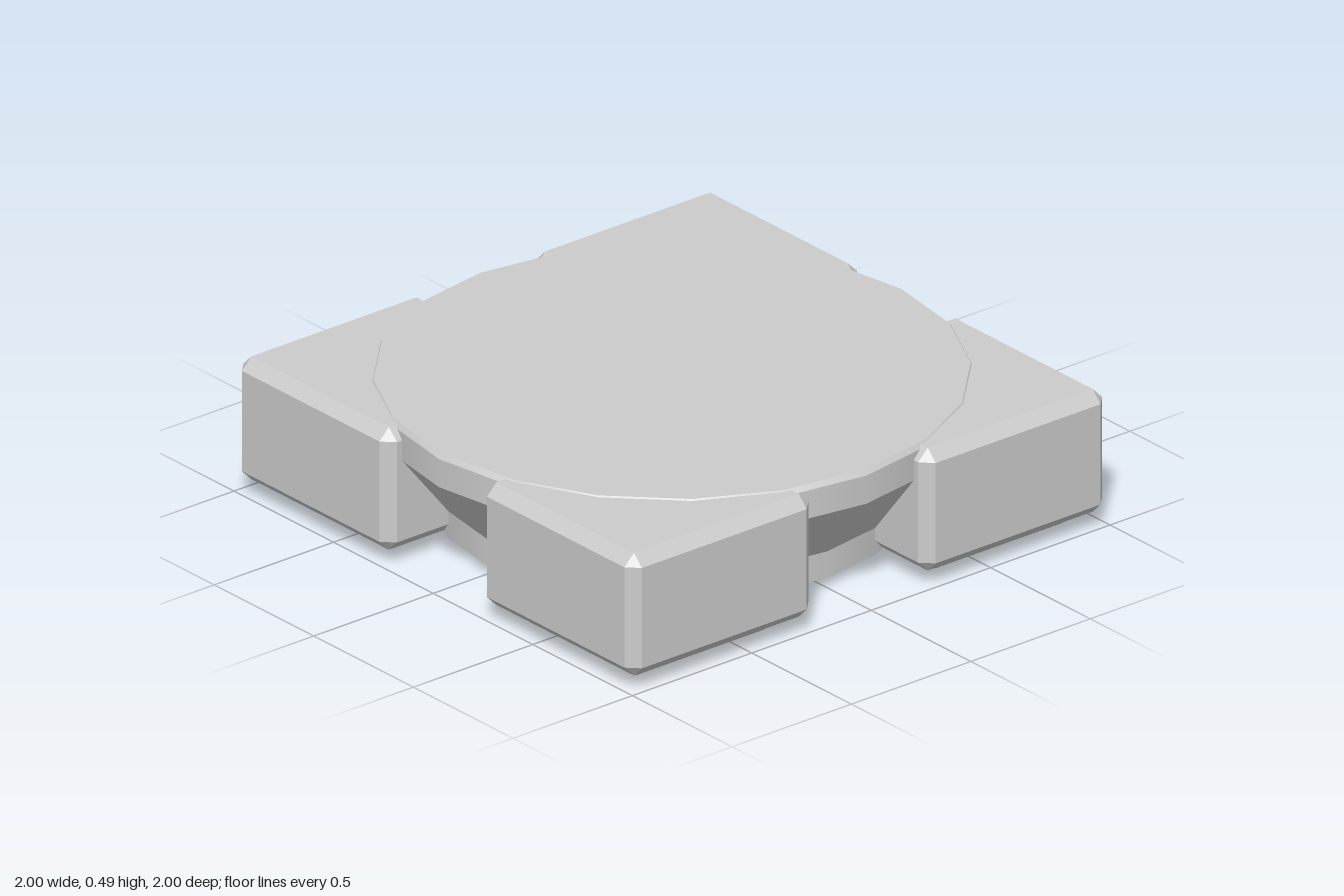
import * as THREE from 'three';
import { ConvexGeometry } from 'three/addons/geometries/ConvexGeometry.js';

const material = new THREE.MeshStandardMaterial({ color: 0xcccccc });

function addMesh(parent, name, geometry, x = 0, y = 0, z = 0) {
  const mesh = new THREE.Mesh(geometry, material);
  mesh.name = name;
  mesh.position.set(x, y, z);
  parent.add(mesh);
  return mesh;
}

// Box with every edge and corner cut at 45 degrees
function chamferedBox(w, h, d, c) {
  const points = [];
  for (const sx of [-1, 1]) for (const sy of [-1, 1]) for (const sz of [-1, 1]) {
    const [x, y, z] = [w / 2, h / 2, d / 2];
    points.push(
      new THREE.Vector3(sx * x, sy * (y - c), sz * (z - c)),
      new THREE.Vector3(sx * (x - c), sy * y, sz * (z - c)),
      new THREE.Vector3(sx * (x - c), sy * (y - c), sz * z));
  }
  return new ConvexGeometry(points);
}

// Square pad, narrower at the ground
function taperedPad(topHalf, bottomHalf, height) {
  const points = [];
  for (const sx of [-1, 1]) for (const sz of [-1, 1]) {
    points.push(
      new THREE.Vector3(sx * topHalf, height, sz * topHalf),
      new THREE.Vector3(sx * bottomHalf, 0, sz * bottomHalf));
  }
  return new ConvexGeometry(points);
}

export function createModel() {
  const model = new THREE.Group();
  model.name = 'roundTopBlock';

  // Twenty-sided body: profile of [radius, height], one smooth band per step
  const body = new THREE.Group();
  body.name = 'roundBody';
  model.add(body);
  const profile = [[0.78, 0.035], [0.78, 0.13], [0.975, 0.37], [0.975, 0.47], [0.962, 0.487]];
  const names = ['lowerBand', 'taperedWaist', 'upperBand', 'topBevel'];
  names.forEach((name, i) => {
    const [r0, y0] = profile[i];
    const [r1, y1] = profile[i + 1];
    addMesh(body, name, new THREE.CylinderGeometry(r1, r0, y1 - y0, 20, 1, true), 0, (y0 + y1) / 2, 0);
  });
  const top = addMesh(body, 'topFace', new THREE.CircleGeometry(0.962, 20), 0, 0.487, 0);
  top.rotation.x = -Math.PI / 2;
  const bottom = addMesh(body, 'bottomFace', new THREE.CircleGeometry(0.78, 20), 0, 0.035, 0);
  bottom.rotation.x = Math.PI / 2;

  // Four corner blocks, each on its own pad
  const blockGeometry = chamferedBox(0.77, 0.437, 0.77, 0.04);
  const padGeometry = taperedPad(0.305, 0.265, 0.046);
  for (const sx of [-1, 1]) for (const sz of [-1, 1]) {
    const corner = new THREE.Group();
    corner.name = (sz > 0 ? 'front' : 'back') + (sx > 0 ? 'Left' : 'Right') + 'Corner';
    model.add(corner);
    addMesh(corner, 'cornerBlock', blockGeometry, sx * 0.615, 0.2635, sz * 0.615);
    addMesh(corner, 'cornerPad', padGeometry, sx * 0.625, 0, sz * 0.625);
  }

  // Pad under the middle
  addMesh(model, 'centrePad', taperedPad(0.305, 0.27, 0.04));
  return model;
}
